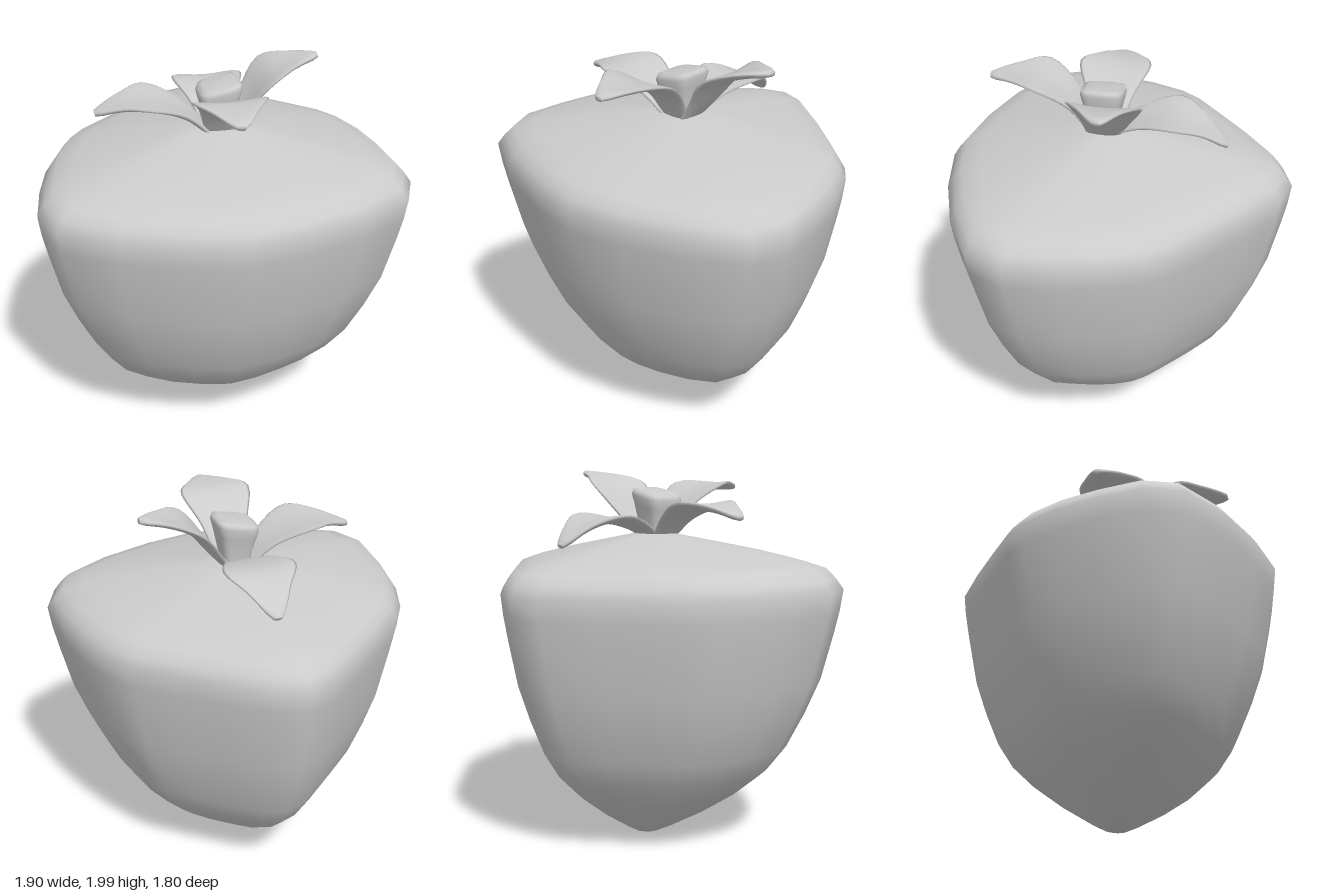
import * as THREE from 'three';
import { mergeVertices } from 'three/addons/utils/BufferGeometryUtils.js';

const material = new THREE.MeshStandardMaterial({ color: 0xcccccc });
const V = (x, y, z) => new THREE.Vector3(x, y, z);

// Skins a list of closed rings (arrays of Vector3) into one smooth surface.
function loft(name, rings) {
  const n = rings[0].length;
  const index = [];
  for (let i = 0; i < rings.length - 1; i++) {
    for (let j = 0; j < n; j++) {
      const a = i * n + j, b = i * n + (j + 1) % n;
      index.push(a, b, a + n, b, b + n, a + n);
    }
  }
  const points = new THREE.BufferGeometry().setFromPoints(rings.flat());
  points.setIndex(index);
  const geometry = mergeVertices(points, 1e-5);
  geometry.computeVertexNormals();
  const mesh = new THREE.Mesh(geometry, material);
  mesh.name = name;
  return mesh;
}

// Fruit: rounded three-cornered outline, scaled up a pointed profile.
function createFruit() {
  const half = [[0, 0.9], [0.3, 0.845], [0.61, 0.74], [0.87, 0.59], [0.95, 0.4], [0.925, 0.15], [0.88, -0.07],
    [0.8, -0.27], [0.72, -0.38], [0.56, -0.52], [0.36, -0.69], [0.15, -0.85], [0, -0.9]];
  const outline = [...half, ...half.slice(1, -1).reverse().map(([x, z]) => [-x, z])];
  // [scale, height]
  const profile = [[0, 0], [0.06, 0.01], [0.14, 0.05], [0.32, 0.155], [0.5, 0.28], [0.635, 0.4], [0.735, 0.54],
    [0.825, 0.73], [0.9, 0.92], [0.96, 1.17], [0.985, 1.29], [1, 1.4], [0.96, 1.455], [0.91, 1.507],
    [0.8, 1.54], [0.62, 1.58], [0.4, 1.62], [0.2, 1.655], [0.1, 1.672], [0, 1.675]];
  return loft('fruit', profile.map(([s, y]) => {
    const shift = y > 1.4 ? 0.05 * (1 - s) : 0;
    return outline.map(([x, z]) => V(x * s, y, z * s + shift));
  }));
}

// Stem: short rounded-square peg, wider and slightly slanted at the top.
function createStem() {
  const levels = [[0.07, 1.62], [0.08, 1.72], [0.1, 1.81], [0.112, 1.86], [0.105, 1.885], [0.08, 1.895], [0, 1.895]];
  const round = (v) => Math.sign(v) * Math.sqrt(Math.abs(v));
  return loft('stem', levels.map(([r, y]) => Array.from({ length: 24 }, (_, j) => {
    const a = -j / 24 * Math.PI * 2;
    const x = r * round(Math.cos(a)), z = r * round(Math.sin(a));
    return V(0.01 + x, y + (y > 1.8 ? x * 0.2 : 0), 0.08 + z);
  })));
}

// Leaf: flat cupped blade swept along a curved midrib to a narrow tip.
function createLeaf(name, out, midrib) {
  const path = new THREE.CatmullRomCurve3(midrib.map((p) => V(...p)));
  const widths = new THREE.CatmullRomCurve3([0.08, 0.13, 0.19, 0.115, 0.032].map((w, i) => V(w, i * 0.15, 0)));
  const side = V(0, 1, 0).cross(out);
  const steps = 16, sides = 16;
  const section = (t, scale) => {
    const centre = path.getPoint(t);
    const normal = path.getTangent(t).cross(side).normalize();
    const width = widths.getPoint(t).x * scale;
    const cup = 0.03 * Math.sin(Math.PI * t);
    return Array.from({ length: sides }, (_, j) => {
      const a = j / sides * Math.PI * 2, c = Math.cos(a);
      return centre.clone().addScaledVector(side, width * c)
        .addScaledVector(normal, (0.02 * Math.sin(a) + cup * c * c) * scale);
    });
  };
  const rings = [section(0, 0)];
  for (let i = 0; i <= steps; i++) rings.push(section(i / steps, i === steps ? 0.75 : 1));
  rings.push(section(1, 0));
  return loft(name, rings);
}

export function createModel() {
  const model = new THREE.Group();
  model.name = 'fruitWithLeaves';
  const leaves = new THREE.Group();
  leaves.name = 'leaves';
  leaves.add(
    createLeaf('frontLeaf', V(0, 0, 1),
      [[0.01, 1.65, 0.13], [0.01, 1.8, 0.24], [0, 1.9, 0.4], [0, 1.91, 0.53], [0, 1.905, 0.66]]),
    createLeaf('backLeaf', V(0, 0, -1),
      [[0.01, 1.66, 0.03], [0.01, 1.72, -0.12], [0.02, 1.75, -0.3], [0.03, 1.71, -0.43], [0.03, 1.63, -0.56]]),
    createLeaf('leftLeaf', V(1, 0, 0),
      [[0.05, 1.63, 0.08], [0.16, 1.76, 0.05], [0.28, 1.9, 0.035], [0.4, 1.95, 0.03], [0.53, 1.98, 0.02]]),
    createLeaf('rightLeaf', V(-1, 0, 0),
      [[-0.04, 1.64, 0.08], [-0.18, 1.75, 0.08], [-0.35, 1.815, 0.08], [-0.48, 1.81, 0.075], [-0.62, 1.775, 0.07]]),
  );
  model.add(createFruit(), createStem(), leaves);
  return model;
}
